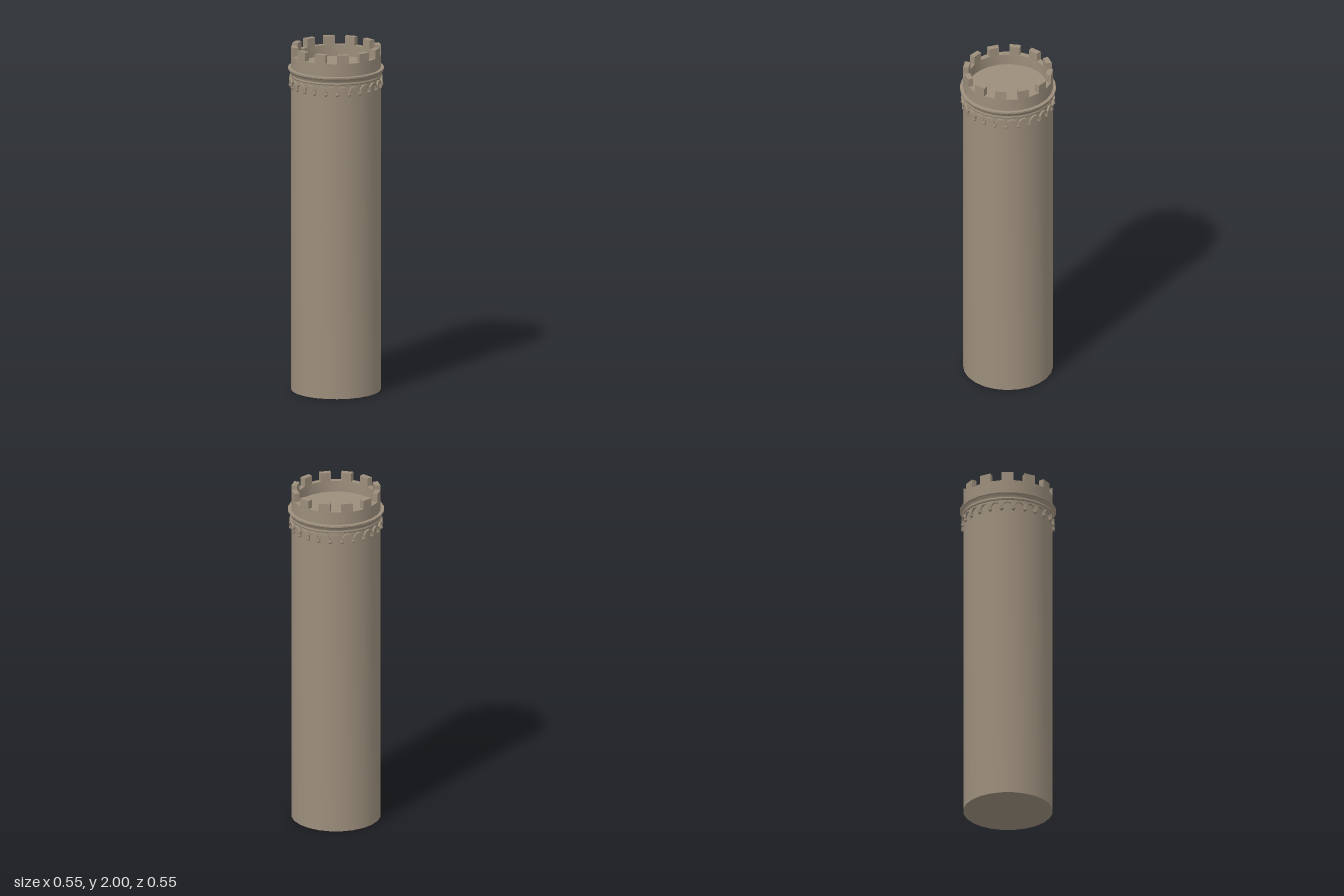
import * as THREE from 'three';
import { toCreasedNormals } from 'three/addons/utils/BufferGeometryUtils.js';

const SIDES = 24;
const STEP = (Math.PI * 2) / SIDES;
const R = 0.255; // outer wall
const R_IN = 0.223; // inside of the parapet

export function createModel() {
  const tower = new THREE.Group();
  tower.name = 'tower';
  const stone = new THREE.MeshStandardMaterial({ color: 0x9c8e7c });
  stone.name = 'stone';

  const add = (name, geometry, parent = tower) => {
    const mesh = new THREE.Mesh(geometry, stone);
    mesh.name = name;
    parent.add(mesh);
    return mesh;
  };
  const addGroup = (name) => {
    const group = new THREE.Group();
    group.name = name;
    tower.add(group);
    return group;
  };
  const lathe = (points) => toCreasedNormals(
    new THREE.LatheGeometry(points.map(([x, y]) => new THREE.Vector2(x, y)), SIDES), 0.5);

  // Shaft with closed base, rising into the low parapet wall around a sunken floor
  add('shaft', lathe([[0, 0], [R, 0], [R, 1.95], [R_IN, 1.95], [R_IN, 1.885], [0, 1.885]]));

  // Stepped moulding below the parapet
  add('cornice', lathe([
    [0.25, 1.825], [0.26, 1.827], [0.263, 1.833], [0.26, 1.841],
    [0.262, 1.85], [0.267, 1.858], [0.273, 1.865], [0.273, 1.874], [0.25, 1.876],
  ]));

  // Merlons fill every other wall segment
  const merlons = addGroup('battlements');
  const c = Math.cos(STEP / 2), s = Math.sin(STEP / 2);
  const wedge = new THREE.Shape([
    new THREE.Vector2(R_IN * c, -R_IN * s), new THREE.Vector2(R * c, -R * s),
    new THREE.Vector2(R * c, R * s), new THREE.Vector2(R_IN * c, R_IN * s),
  ]);
  const merlonGeometry = new THREE.ExtrudeGeometry(wedge, { depth: 0.05, bevelEnabled: false });
  merlonGeometry.rotateX(-Math.PI / 2).translate(0, 1.95, 0);
  for (let k = 0; k < SIDES; k += 2) {
    add('merlon', merlonGeometry, merlons).rotation.y = -(k + 0.5) * STEP;
  }

  // Blind arcade: one raised arch per wall segment, a round corbel at each springing
  const arcade = addGroup('arcade');
  const outer = R * s, inner = outer - 0.009, spring = 1.785, foot = 1.775;
  const arch = new THREE.Shape();
  arch.moveTo(outer, foot);
  arch.absarc(0, spring, outer, 0, Math.PI, false);
  arch.lineTo(-outer, foot);
  arch.lineTo(-inner, foot);
  arch.absarc(0, spring, inner, Math.PI, 0, true);
  arch.lineTo(inner, foot);
  const archGeometry = toCreasedNormals(new THREE.ExtrudeGeometry(arch, {
    depth: 0.015, bevelEnabled: false, curveSegments: 10,
  }), 0.6);
  archGeometry.translate(0, 0, 0.249);
  const corbelGeometry = new THREE.SphereGeometry(0.0115, 10, 8);
  corbelGeometry.translate(0, 1.772, 0.257);
  for (let k = 0; k < SIDES; k++) {
    add('arch', archGeometry, arcade).rotation.y = (k + 0.5) * STEP;
    add('corbel', corbelGeometry, arcade).rotation.y = k * STEP;
  }

  return tower;
}
